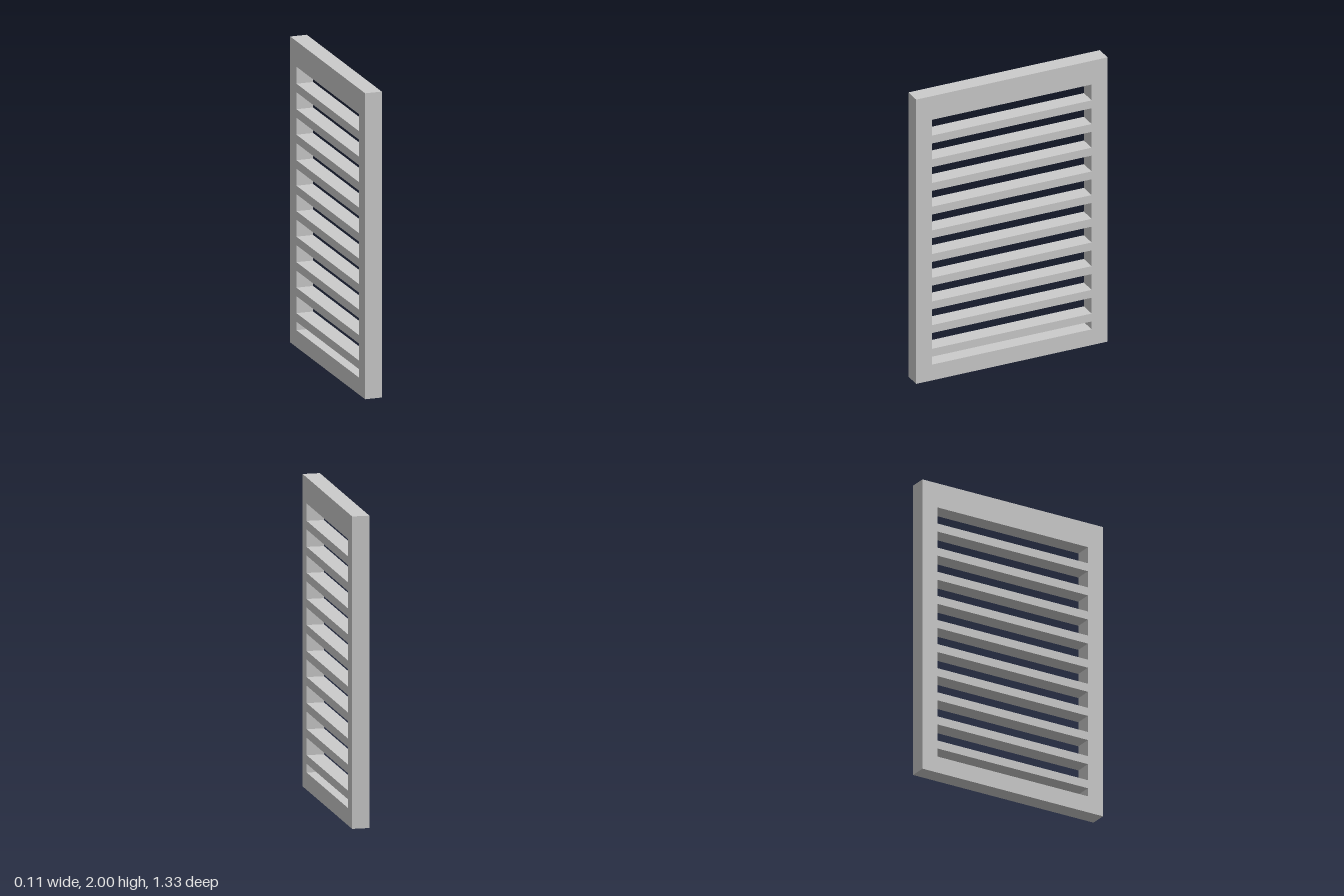
import * as THREE from 'three';

const U = 1 / 18; // base module: one slat thickness

// Rectangle corners, counter-clockwise
function rect(x0, y0, x1, y1) {
  return [[x0, y0], [x1, y0], [x1, y1], [x0, y1]].map(([x, y]) => new THREE.Vector2(x * U, y * U));
}

export function createModel() {
  const group = new THREE.Group();
  group.name = 'louvrePanel';

  // Frame outline with a ladder of slots; the material between them forms the slats
  const outline = new THREE.Shape(rect(-12, 0, 12, 36));
  const slotCount = 11, pitch = 3, slotHeight = 2, sill = 2;
  for (let i = 0; i < slotCount; i++) {
    const top = 33 - i * pitch;
    const bottom = Math.max(top - slotHeight, sill); // lowest slot is cut short by the sill
    outline.holes.push(new THREE.Path(rect(-10, bottom, 10, top).reverse()));
  }

  // Extrude the thickness, then turn the panel to face sideways
  const geometry = new THREE.ExtrudeGeometry(outline, { depth: 2 * U, bevelEnabled: false });
  geometry.translate(0, 0, -U);
  geometry.rotateY(Math.PI / 2);

  const panel = new THREE.Mesh(geometry, new THREE.MeshStandardMaterial({ color: 0xcccccc }));
  panel.name = 'slattedFrame';
  group.add(panel);
  return group;
}
